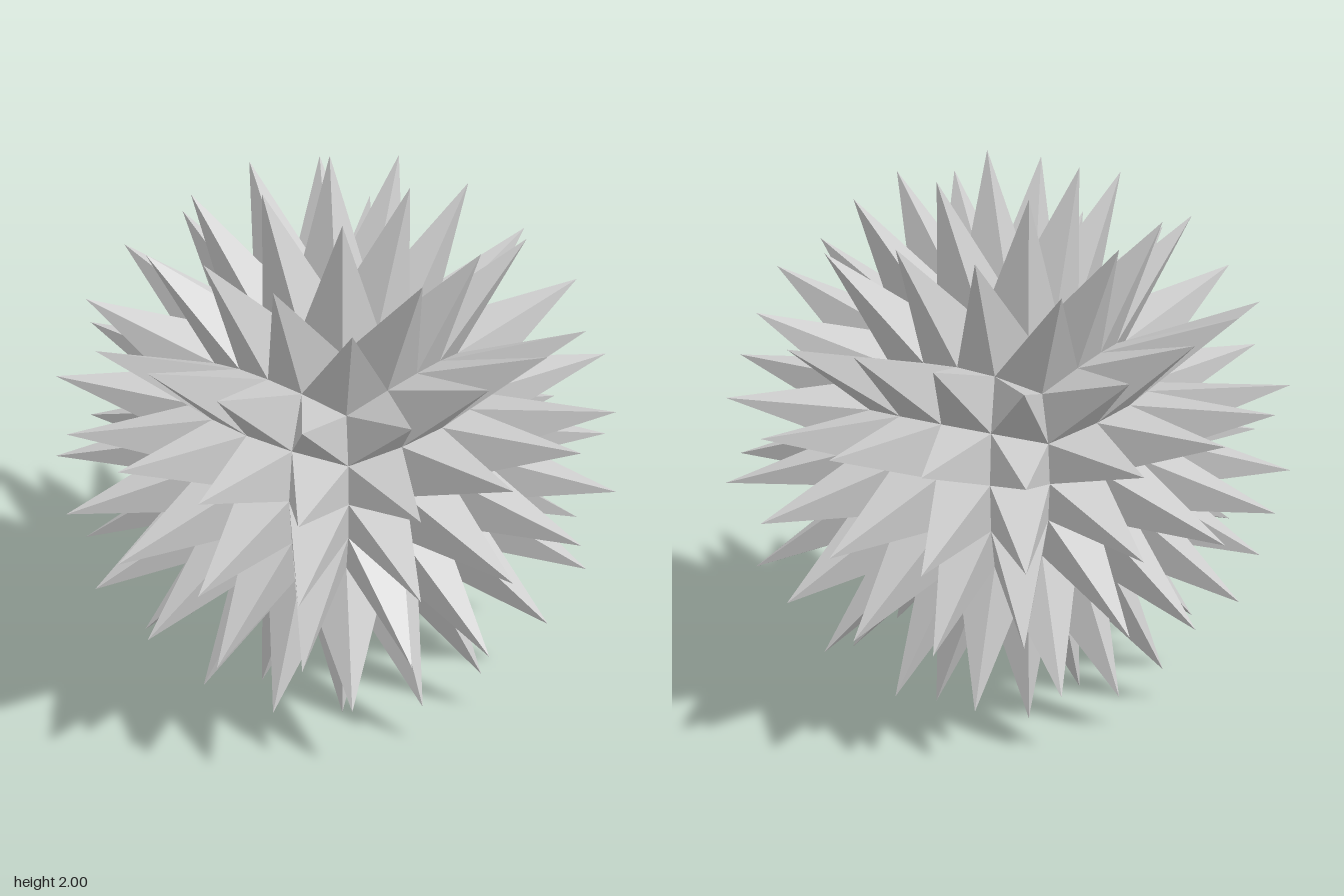
import * as THREE from 'three';

const BASE_RADIUS = 0.54;
const TIP_RADIUS = 1.035;
const GRID = [-1, -0.4, 0, 0.4, 1]; // cell borders on each cube side
const MIDS = [-0.635, -0.19, 0.19, 0.635]; // spike directions between the borders

const onSphere = (u, v, radius) => new THREE.Vector3(u, v, 1).setLength(radius);

// Four-sided spike standing on one cell of the ball
function spikeGeometry(i, j) {
  const corners = [[0, 0], [1, 0], [1, 1], [0, 1]].map(
    ([a, b]) => onSphere(GRID[i + a], GRID[j + b], BASE_RADIUS));
  const tip = onSphere(MIDS[i], MIDS[j], TIP_RADIUS);
  const points = [];
  corners.forEach((corner, k) => points.push(corner, corners[(k + 1) % 4], tip));
  const geometry = new THREE.BufferGeometry().setFromPoints(points);
  geometry.computeVertexNormals();
  return geometry;
}

export function createModel() {
  const model = new THREE.Group();
  model.name = 'spikyBall';
  const material = new THREE.MeshStandardMaterial({ color: 0xcccccc, flatShading: true });

  // Six cube sides swollen to a ball, each with 4 x 4 spikes
  const turns = {
    front: [0, 0], left: [0, 1], back: [0, 2], right: [0, 3], top: [-1, 0], bottom: [1, 0],
  };
  for (const [name, [rx, ry]] of Object.entries(turns)) {
    const side = new THREE.Group();
    side.name = name + 'Spikes';
    side.rotation.set(rx * Math.PI / 2, ry * Math.PI / 2, 0);
    for (let i = 0; i < 4; i++) {
      for (let j = 0; j < 4; j++) {
        const spike = new THREE.Mesh(spikeGeometry(i, j), material);
        spike.name = 'spike';
        side.add(spike);
      }
    }
    model.add(side);
  }
  // Lift the ball so its lowest tips touch the ground
  for (const side of model.children) side.position.y = 1;
  return model;
}
